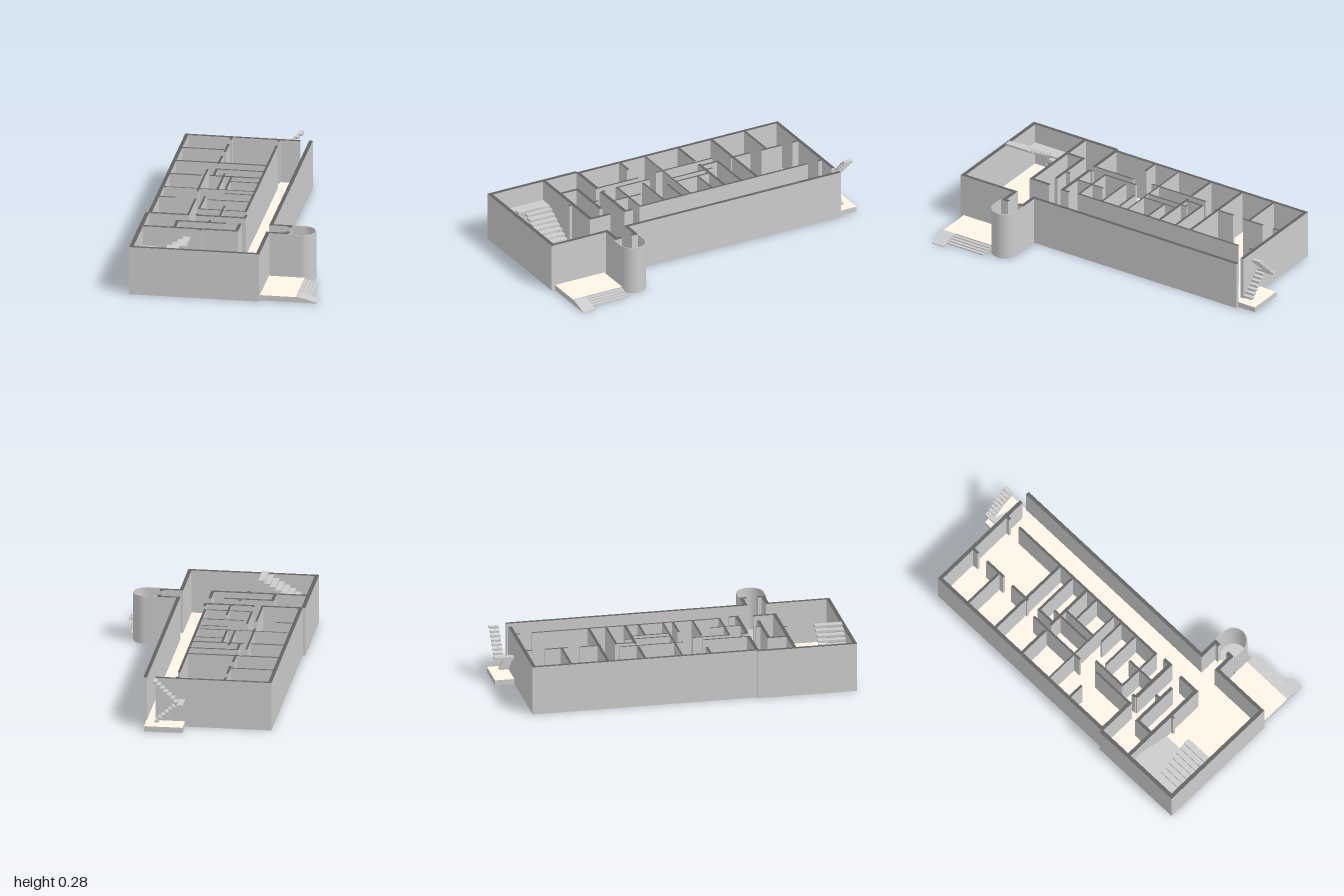
import * as THREE from 'three';

const H = 0.27, FLOOR = 0.03;
const grey = new THREE.MeshStandardMaterial({ color: 0xcccccc });
const cut = new THREE.MeshStandardMaterial({ color: 0x626262 });
const beige = new THREE.MeshStandardMaterial({ color: 0xfff4e6 });
const thin = new THREE.MeshStandardMaterial({ color: 0xcccccc, side: THREE.DoubleSide });

// Plan coordinates: a runs across the building, b along it from the back wall.
function block(parent, name, a0, a1, y0, y1, b0, b1, top = grey) {
  const geo = new THREE.BoxGeometry(a1 - a0, y1 - y0, b1 - b0);
  const mesh = new THREE.Mesh(geo, [grey, grey, top, grey, grey, grey]);
  mesh.position.set((a0 + a1) / 2, (y0 + y1) / 2, (b0 + b1) / 2);
  mesh.name = name;
  parent.add(mesh);
}

// Thin treads rising from a0 to a1
function flight(parent, name, a0, a1, b0, b1, y0, y1, n) {
  const run = (a1 - a0) / n, rise = (y1 - y0) / n;
  for (let i = 0; i < n; i++) {
    const p = a0 + i * run, q = p + run * 1.25, y = y0 + (i + 1) * rise;
    block(parent, name, Math.min(p, q), Math.max(p, q), y - 0.012, y, b0, b1);
  }
}

// Vertical extrusion of a plan outline
function prism(shape, height) {
  const geo = new THREE.ExtrudeGeometry(shape, { depth: height, bevelEnabled: false, curveSegments: 24 });
  return geo.rotateX(Math.PI / 2).translate(0, height, 0);
}

export function createModel() {
  const model = new THREE.Group();
  const plan = new THREE.Group();
  plan.name = 'building';
  plan.rotation.y = THREE.MathUtils.degToRad(-20.4);
  plan.position.set(-0.02, 0, -1);
  model.add(plan);

  // Floors
  block(plan, 'mainFloor', 0.002, 0.695, 0, FLOOR, 0.002, 1.775, beige);
  block(plan, 'vestibuleFloor', 0.695, 0.8, 0, FLOOR, 1.31, 1.44, beige);

  // Outer walls: [a0, a1, b0, b1]
  const outer = [
    [0, 0.628, 0, 0.02],
    [0, 0.02, 0.02, 1.235],
    [-0.014, 0.008, 1.235, 1.78],
    [0.008, 0.695, 1.758, 1.78],
    [0.675, 0.695, 0, 1.326],
    [0.675, 0.695, 1.425, 1.758],
    [0.695, 0.8, 1.306, 1.326],
    [0.695, 0.8, 1.425, 1.445],
    [0.78, 0.8, 1.326, 1.345],
    [0.78, 0.8, 1.405, 1.425],
  ];
  for (const [a0, a1, b0, b1] of outer) block(plan, 'outerWall', a0, a1, 0, H, b0, b1, cut);

  // Partitions across the building: [b, aStart, aEnd, thickness]
  const across = [
    [0.213, 0.02, 0.262, 0.014], [0.417, 0.02, 0.515, 0.016], [0.513, 0.25, 0.515, 0.014],
    [0.62, 0.02, 0.195, 0.016], [0.617, 0.235, 0.515, 0.016], [0.692, 0.355, 0.515, 0.012],
    [0.825, 0.02, 0.515, 0.01], [0.88, 0.36, 0.515, 0.012], [0.98, 0.02, 0.108, 0.014],
    [0.988, 0.285, 0.515, 0.012], [1.136, 0.257, 0.52, 0.012], [1.234, 0.008, 0.225, 0.02],
    [1.234, 0.265, 0.535, 0.02], [1.334, 0.168, 0.44, 0.018], [1.44, 0.008, 0.525, 0.02],
  ];
  for (const [b, a0, a1, t] of across)
    block(plan, 'crossPartition', a0, a1, 0.02, H, b - t / 2, b + t / 2, cut);

  // Partitions along the building: [a, bStart, bEnd, thickness]
  const along = [
    [0.513, 0.02, 0.04, 0.016], [0.256, 0.02, 0.055, 0.014], [0.256, 0.12, 0.247, 0.014],
    [0.252, 0.313, 0.433, 0.014], [0.516, 0.106, 1.14, 0.014], [0.256, 0.506, 0.61, 0.014],
    [0.208, 0.52, 0.87, 0.012], [0.31, 0.575, 0.82, 0.012], [0.354, 0.617, 0.82, 0.012],
    [0.218, 0.98, 1.226, 0.012], [0.262, 0.935, 1.136, 0.012], [0.39, 1.063, 1.23, 0.012],
    [0.527, 1.19, 1.226, 0.016], [0.177, 1.334, 1.435, 0.018], [0.516, 1.322, 1.44, 0.018],
    [0.35, 1.3, 1.334, 0.014], [0.323, 1.44, 1.465, 0.014], [0.265, 1.21, 1.234, 0.014],
  ];
  for (const [a, b0, b1, t] of along)
    block(plan, 'longPartition', a - t / 2, a + t / 2, 0.02, H, b0, b1, cut);

  // Round-ended tower: open shell with a low floor
  const r = 0.075, ca = 0.864, cb = 1.38, skin = 0.004;
  const shell = new THREE.Shape();
  shell.moveTo(0.8, cb - r).lineTo(ca, cb - r);
  shell.absarc(ca, cb, r, -Math.PI / 2, Math.PI / 2, false);
  shell.lineTo(0.8, cb + r).lineTo(0.8, cb + r - skin).lineTo(ca, cb + r - skin);
  shell.absarc(ca, cb, r - skin, Math.PI / 2, -Math.PI / 2, true);
  shell.lineTo(0.8, cb - r + skin);
  const tower = new THREE.Mesh(prism(shell, H), thin);
  tower.name = 'towerWall';
  const base = new THREE.Shape();
  base.moveTo(0.8, cb - r + skin).lineTo(ca, cb - r + skin);
  base.absarc(ca, cb, r - skin, -Math.PI / 2, Math.PI / 2, false);
  base.lineTo(0.8, cb + r - skin);
  const towerFloor = new THREE.Mesh(prism(base, FLOOR), grey);
  towerFloor.name = 'towerFloor';
  plan.add(tower, towerFloor);

  // Entrance porch with steps and a sloping cheek
  block(plan, 'porch', 0.695, 0.89, 0, FLOOR, 1.456, 1.76, beige);
  for (let i = 0; i < 4; i++)
    block(plan, 'porchStep', 0.89 + i * 0.0185, 0.89 + (i + 1) * 0.0185, 0, FLOOR * (4 - i) / 5, 1.456, 1.685);
  const slope = new THREE.Shape();
  slope.moveTo(0.89, 0).lineTo(1.005, 0).lineTo(1.005, 0.004).lineTo(0.91, FLOOR).lineTo(0.89, FLOOR);
  const cheek = new THREE.Mesh(new THREE.ExtrudeGeometry(slope, { depth: 0.075, bevelEnabled: false }), grey);
  cheek.position.z = 1.685;
  cheek.name = 'porchCheek';
  plan.add(cheek);

  // Indoor staircase: up to a half landing, then back
  block(plan, 'indoorLanding', 0.008, 0.085, 0.145, 0.16, 1.45, 1.758);
  flight(plan, 'indoorLowerTread', 0.28, 0.085, 1.45, 1.602, FLOOR, 0.15, 7);
  flight(plan, 'indoorUpperTread', 0.08, 0.285, 1.606, 1.758, 0.16, 0.285, 7);

  // Back terrace and outdoor staircase
  block(plan, 'backTerrace', 0.468, 0.678, 0, FLOOR, -0.107, 0.002, beige);
  block(plan, 'outdoorLanding', 0.468, 0.5, 0.145, 0.157, -0.107, -0.002);
  flight(plan, 'outdoorLowerTread', 0.628, 0.5, -0.053, -0.002, FLOOR, 0.145, 7);
  flight(plan, 'outdoorUpperTread', 0.495, 0.625, -0.107, -0.056, 0.157, 0.285, 7);

  return model;
}
